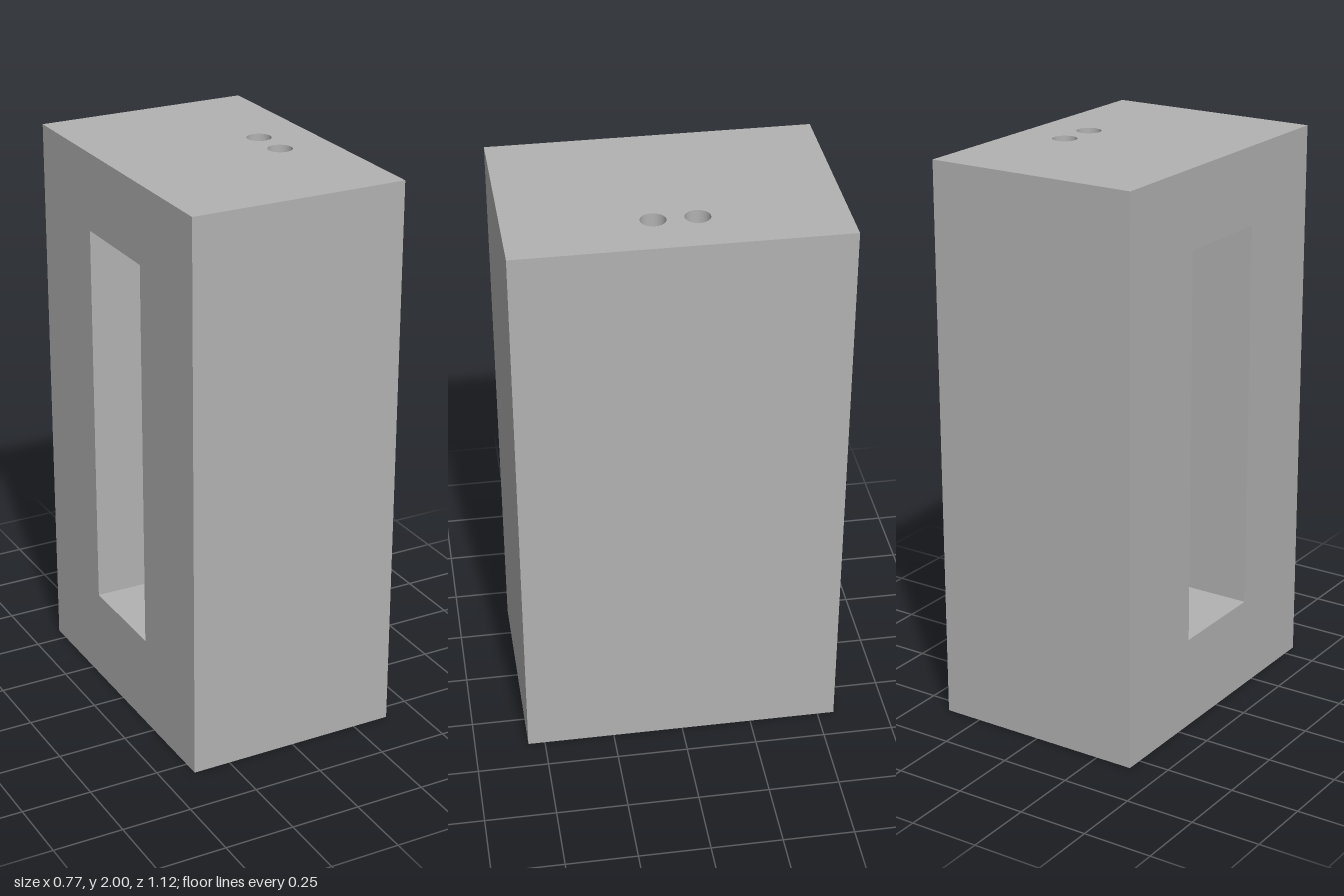
import * as THREE from 'three';
import { mergeGeometries } from 'three/addons/utils/BufferGeometryUtils.js';

const X = 0.385, Z = 0.56, H = 2;                 // outer half width, half depth, height
const PX = 0.27, PZ = 0.19, P0 = 0.33, P1 = 1.725; // pocket end, half depth, floor, ceiling
const R = 0.043, HX = 0.2, HZ = [-0.0725, 0.0725]; // wire holes
const Q = Math.PI / 2;

// flat rectangle facing +z, with optional cut-outs
function panel(u0, u1, v0, v1, holes = []) {
  const s = new THREE.Shape([[u0, v0], [u1, v0], [u1, v1], [u0, v1]].map(p => new THREE.Vector2(...p)));
  s.holes.push(...holes);
  return new THREE.ShapeGeometry(s, 20);
}

const circles = () => HZ.map(z => new THREE.Path().absarc(HX, z, R, 0, Math.PI * 2, true));

// reverse the faces so that a tube is seen from inside
function insideOut(g) {
  const i = g.index.array;
  for (let k = 0; k < i.length; k += 3) [i[k], i[k + 1]] = [i[k + 1], i[k]];
  const n = g.attributes.normal.array;
  for (let k = 0; k < n.length; k++) n[k] = -n[k];
  return g;
}

export function createModel() {
  const group = new THREE.Group();
  group.name = 'housing';
  const grey = new THREE.MeshStandardMaterial({ color: 0xb2b2b2 });
  grey.name = 'grey';
  const add = (name, geos) => {
    const mesh = new THREE.Mesh(mergeGeometries(geos), grey);
    mesh.name = name;
    group.add(mesh);
  };

  // outer block with the side opening and the two holes in the top
  const opening = new THREE.Path([[-PZ, P0], [-PZ, P1], [PZ, P1], [PZ, P0]].map(p => new THREE.Vector2(...p)));
  opening.closePath();
  add('outerBlock', [
    panel(-X, X, 0, H).translate(0, 0, Z),
    panel(-X, X, 0, H).rotateY(Math.PI).translate(0, 0, -Z),
    panel(-Z, Z, 0, H).rotateY(Q).translate(X, 0, 0),
    panel(-Z, Z, 0, H, [opening]).rotateY(-Q).translate(-X, 0, 0),
    panel(-X, X, -Z, Z, circles()).rotateX(-Q).translate(0, H, 0),
    panel(-X, X, -Z, Z).rotateX(Q),
  ]);

  // pocket behind the side opening
  add('sidePocket', [
    panel(-X, PX, P0, P1).translate(0, 0, -PZ),
    panel(-PX, X, P0, P1).rotateY(Math.PI).translate(0, 0, PZ),
    panel(-PZ, PZ, P0, P1).rotateY(-Q).translate(PX, 0, 0),
    panel(-X, PX, -PZ, PZ).rotateX(-Q).translate(0, P0, 0),
    panel(-X, PX, -PZ, PZ, circles()).rotateX(Q).translate(0, P1, 0),
  ]);

  // holes running from the top into the pocket
  add('wireHoles', HZ.map(z =>
    insideOut(new THREE.CylinderGeometry(R, R, H - P1, 40, 1, true)).translate(HX, (H + P1) / 2, z)));

  return group;
}
